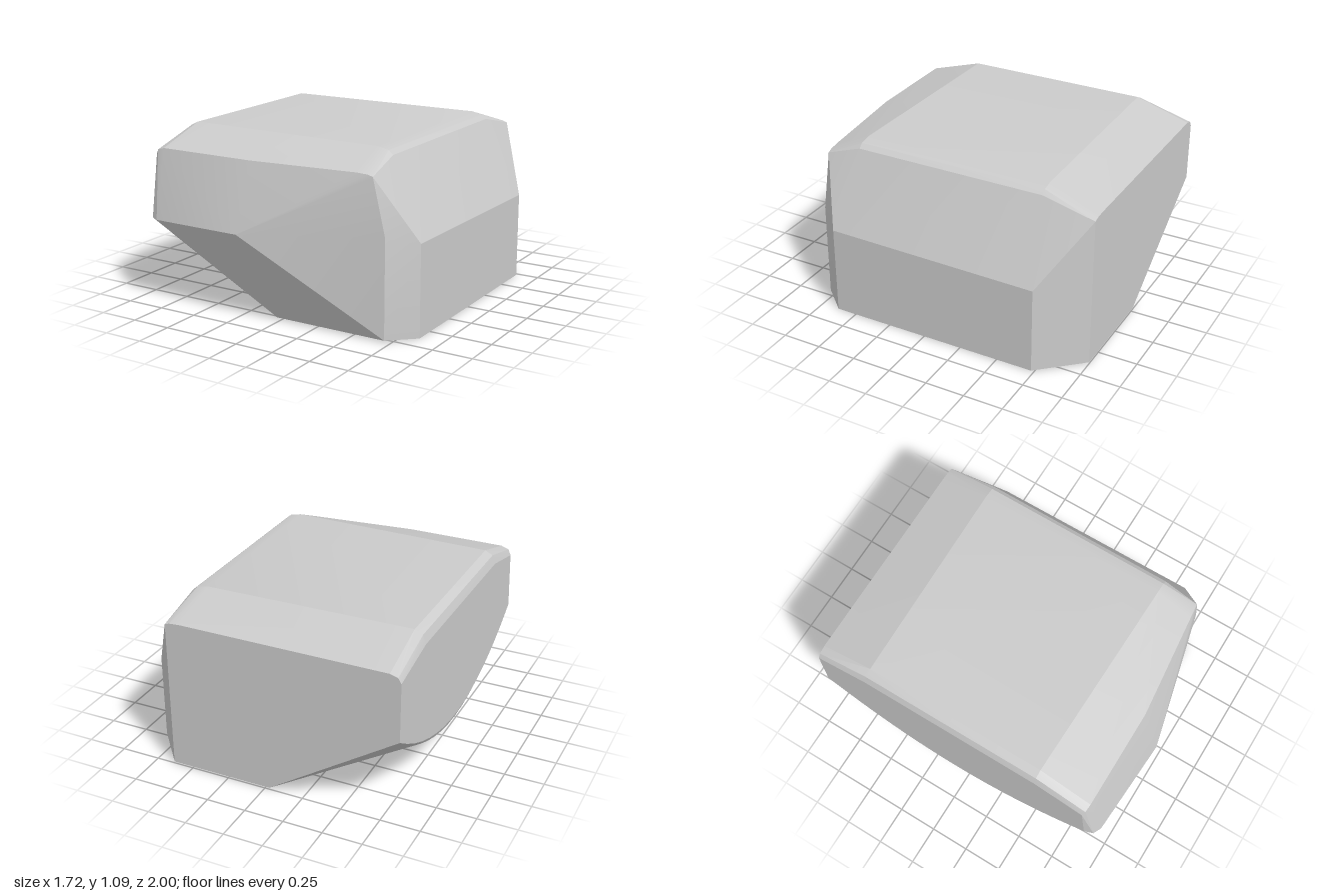
import * as THREE from 'three';
import { ConvexGeometry } from 'three/addons/geometries/ConvexGeometry.js';
import { toCreasedNormals } from 'three/addons/utils/BufferGeometryUtils.js';

export function createModel() {
  const group = new THREE.Group();
  const points = [];
  const add = (x, y, z) => points.push(new THREE.Vector3(x, y, z));

  // Rounded -x end: three shrinking rings, each with a sloped top and a bowed underside
  for (const [x, inset] of [[-0.79, 0], [-0.84, 0.025], [-0.86, 0.08]]) {
    add(x, 1.085 - inset, 0.53);
    add(x, 1.085 - inset, -0.65);
    add(x, 0.98 - inset * 0.6, 0.87 - inset * 0.2);
    add(x, 0.98 - inset * 0.6, -1);
    const steps = 16;
    const front = 0.965 - inset;
    for (let i = 0; i <= steps; i++) {
      const t = i / steps;
      const u = 2 * t - 1;
      add(x, 0.17 + inset * 0.85 + 0.38 * u * u * (1 - inset * 2), THREE.MathUtils.lerp(-1, front, t));
    }
  }

  // Rounded top edge on the +x side, following the sloped ends
  for (const [x, top, end, zFront] of [[0.53, 1.085, 0.98, 0.80], [0.6, 1.07, 0.975, 0.793], [0.63, 1.045, 0.965, 0.79]]) {
    add(x, top, 0.56);
    add(x, top, -0.67);
    add(x, end, zFront);
    add(x, end, -1);
  }

  // Protruding front facets
  add(-0.17, 0.56, 1);
  add(-0.15, 0.98, 0.87);
  add(0.71, 0.62, 0.787);

  // Chamfered +x side
  for (const z of [0.63, -0.73]) {
    add(0.855, z > 0 ? 0.57 : 0.55, z);
    add(0.855, 0, z);
  }

  // Flat base corners
  add(-0.03, 0.01, 0.79);
  add(0.71, 0.01, 0.79);
  add(-0.03, 0.01, -1);
  add(0.63, 0.01, -1);

  const rock = new THREE.Mesh(
    toCreasedNormals(new ConvexGeometry(points), 0.24),
    new THREE.MeshStandardMaterial({ color: 0xcccccc })
  );
  rock.name = 'rock';
  group.add(rock);
  group.name = 'facetedRock';
  return group;
}
